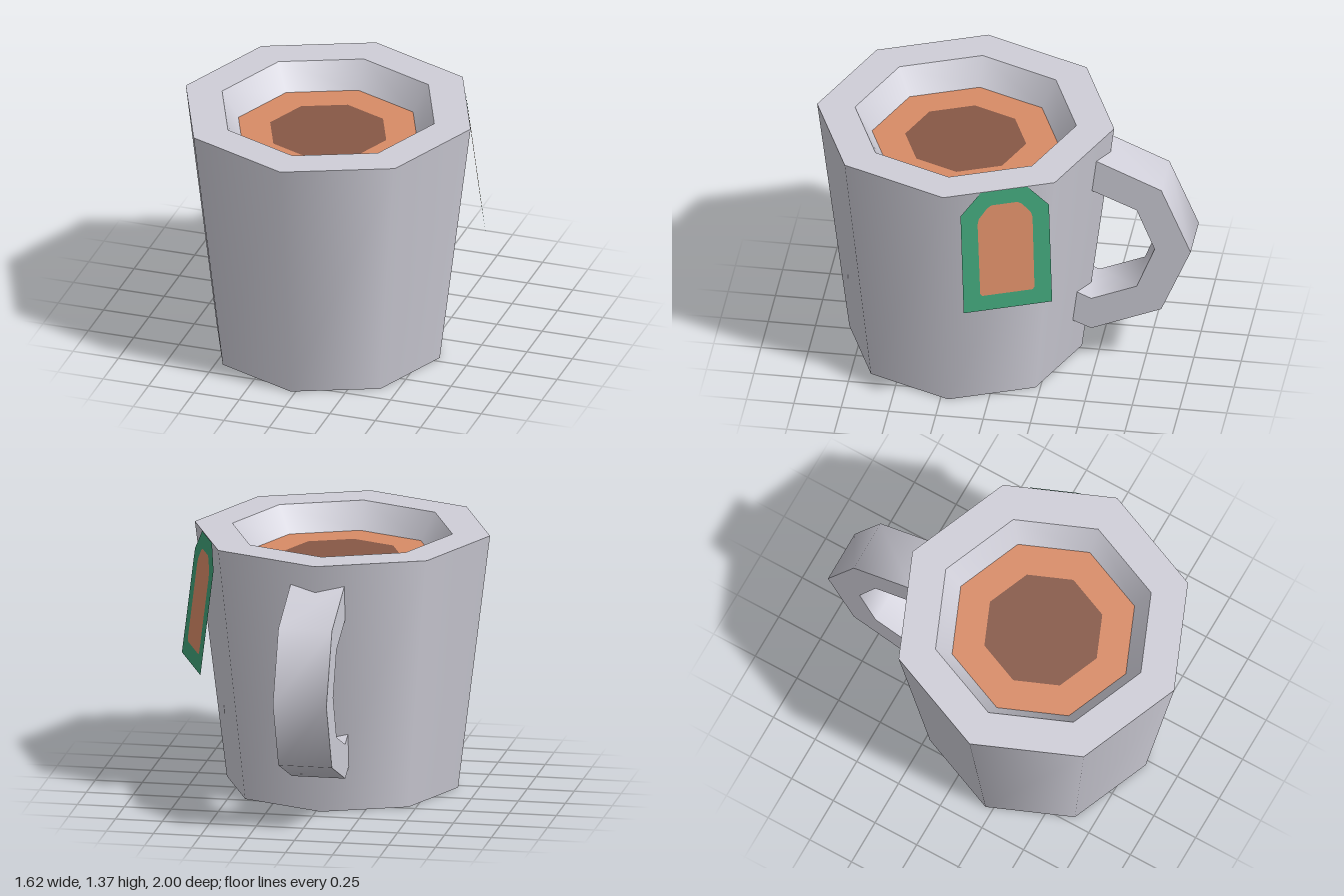
import * as THREE from 'three';
import { toCreasedNormals } from 'three/addons/utils/BufferGeometryUtils.js';

const CX = -0.025, CZ = 0.21; // axis of the cup
const TOP = 1.37, LIQUID = 1.23, SIDES = 8;

function material(name, color, side = THREE.DoubleSide) {
  const m = new THREE.MeshStandardMaterial({ color, side });
  m.name = name;
  return m;
}

function polygon(points) {
  return new THREE.Shape(points.map(([x, y]) => new THREE.Vector2(x, y)));
}

export function createModel() {
  const model = new THREE.Group();
  model.name = 'mug';
  const ceramic = material('pale ceramic', 0xcfced8);
  const orange = material('tea orange', 0xd88b66);
  const brown = material('dark tea', 0x875846);
  const green = material('label green', 0x3fa077);

  function add(name, geometry, mat, parent = model) {
    const mesh = new THREE.Mesh(geometry, mat);
    mesh.name = name;
    parent.add(mesh);
    return mesh;
  }

  // Eight-sided cup: smooth walls, flat rim and base
  const cup = new THREE.Group();
  cup.name = 'cup';
  cup.position.set(CX, 0, CZ);
  model.add(cup);

  const wall = (rTop, rBottom, y0, y1) =>
    new THREE.CylinderGeometry(rTop, rBottom, y1 - y0, SIDES, 1, true).translate(0, (y0 + y1) / 2, 0);
  const ring = (inner, outer, y) =>
    new THREE.RingGeometry(inner, outer, SIDES).rotateX(-Math.PI / 2).translate(0, y, 0);

  add('outerWall', wall(0.785, 0.615, 0, TOP), ceramic, cup);
  add('innerWall', wall(0.585, 0.495, LIQUID, TOP), ceramic, cup);
  add('rim', ring(0.585, 0.785, TOP), ceramic, cup);
  add('base', new THREE.CircleGeometry(0.615, SIDES).rotateX(Math.PI / 2), ceramic, cup);

  // Liquid surface with a darker middle
  add('teaEdge', ring(0.32, 0.495, LIQUID), orange, cup);
  add('teaCentre', new THREE.CircleGeometry(0.32, SIDES).rotateX(-Math.PI / 2).translate(0, LIQUID, 0), brown, cup);

  // Handle: side profile (z, y) extruded across x
  const profile = polygon([
    [-0.5, 1.25], [-0.845, 1.1], [-1, 0.73], [-0.845, 0.36], [-0.475, 0.205], [-0.375, 0.245],
    [-0.395, 0.425], [-0.475, 0.39], [-0.715, 0.49], [-0.81, 0.73], [-0.715, 0.965], [-0.475, 1.065],
  ]);
  const handle = new THREE.ExtrudeGeometry(profile, { depth: 0.285, bevelEnabled: false });
  handle.rotateY(-Math.PI / 2).translate(0.115, 0, 0);
  add('handle', toCreasedNormals(handle, 0.9), ceramic);

  // Paper label hanging from the rim, leaning away from the wall at its foot
  const tag = new THREE.Group();
  tag.name = 'label';
  model.add(tag);
  const c = Math.cos(Math.PI / 8), s = Math.sin(Math.PI / 8);
  function hang(shape) {
    const g = new THREE.ShapeGeometry(shape);
    const p = g.attributes.position;
    for (let i = 0; i < p.count; i++) {
      const y = p.getY(i);
      const t = -0.027 - p.getX(i); // along the wall
      const d = 0.743 + (1.25 - y) * 0.125; // distance from the cup axis
      p.setXYZ(i, CX + c * d + s * t, y, CZ - s * d + c * t);
    }
    g.computeVertexNormals();
    return g;
  }
  const mirrored = (half) => [...half, ...half.map(([x, y]) => [-x, y]).reverse()];
  const inner = mirrored([[0.135, 0.775], [0.146, 0.787], [0.148, 1.19], [0.14, 1.22], [0.095, 1.275], [0.07, 1.29]]);
  const border = polygon(mirrored([[0.238, 0.69], [0.238, 1.25], [0.125, TOP]]));
  border.holes.push(new THREE.Path(polygon(inner).getPoints()));
  add('labelBorder', hang(border), green, tag);
  add('labelPanel', hang(polygon(inner)), orange, tag);

  return model;
}
